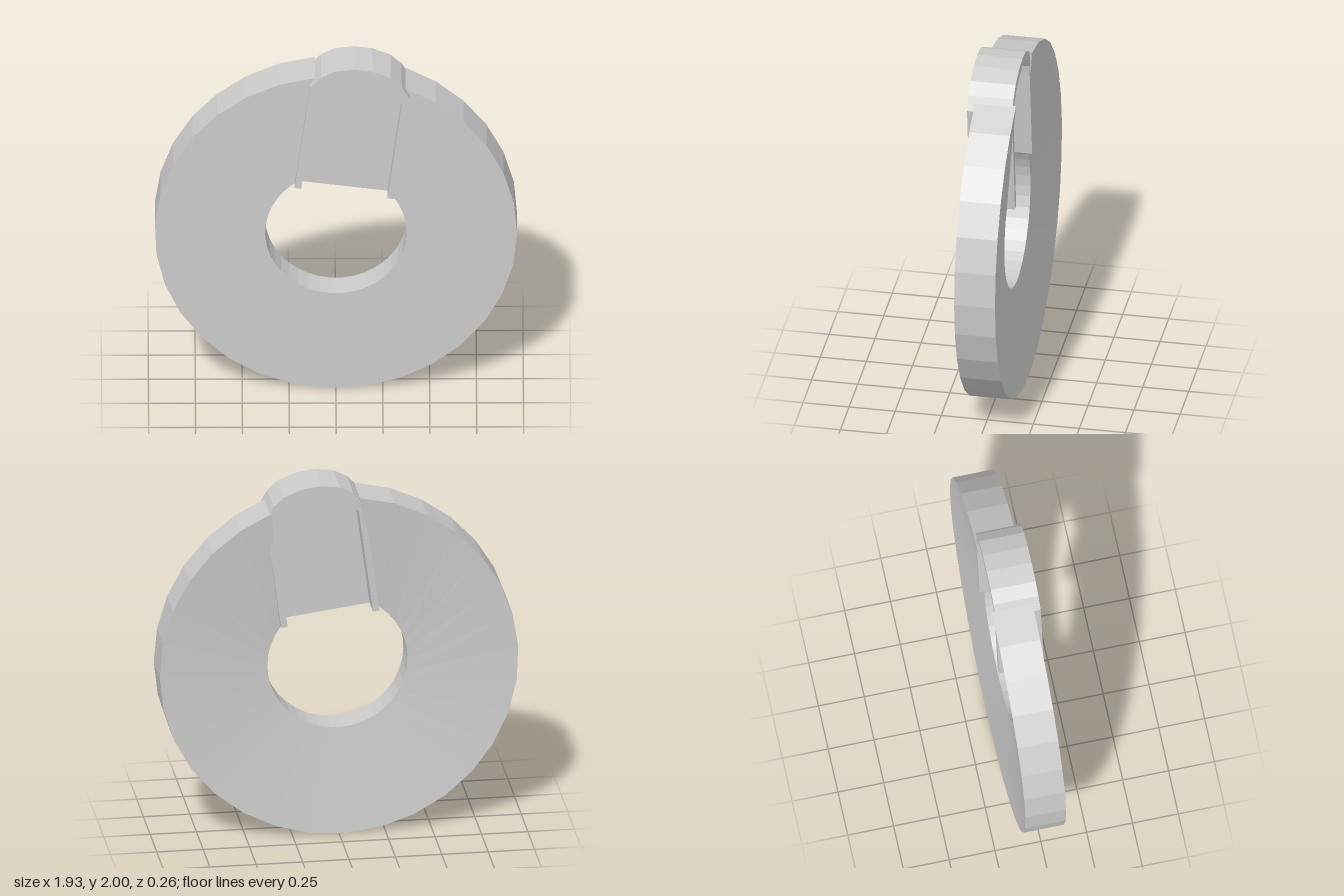
import * as THREE from 'three';

const CENTRE_Y = 0.965;
const stone = () => new THREE.MeshStandardMaterial({ color: 0xcccccc, flatShading: true });

// Open ring with a dished back, swept around a four-corner section
function ringGeometry() {
  const segments = 29;
  const rad = THREE.MathUtils.degToRad;
  const outer = { r: 0.967, from: rad(96.6), to: rad(428) };
  const inner = { r: 0.378, from: rad(126), to: rad(396.6) };
  const corners = [[outer, 0.092], [outer, -0.13], [inner, -0.07], [inner, 0.092]];
  const point = (i, k) => {
    const [edge, z] = corners[k % 4];
    const a = THREE.MathUtils.lerp(edge.from, edge.to, i / segments);
    return [edge.r * Math.cos(a), edge.r * Math.sin(a), z];
  };
  const positions = [];
  const quad = (a, b, c, d) => positions.push(...a, ...b, ...c, ...a, ...c, ...d);
  for (let i = 0; i < segments; i++) {
    for (let k = 0; k < 4; k++) {
      quad(point(i, k), point(i, k + 1), point(i + 1, k + 1), point(i + 1, k));
    }
  }
  // Closed ends against the arched frame
  quad(point(0, 0), point(0, 3), point(0, 2), point(0, 1));
  quad(point(segments, 0), point(segments, 1), point(segments, 2), point(segments, 3));
  const geometry = new THREE.BufferGeometry();
  geometry.setAttribute('position', new THREE.Float32BufferAttribute(positions, 3));
  geometry.computeVertexNormals();
  return geometry;
}

// Right half of an arch mirrored into a full outline, from right foot to left foot
function archPoints(half) {
  const left = half.map(([x, y]) => [-x, y]).reverse();
  return [...half, ...left].map(([x, y]) => new THREE.Vector2(x, y));
}

function extrude(points, back, front) {
  const geometry = new THREE.ExtrudeGeometry(new THREE.Shape(points), {
    depth: front - back, bevelEnabled: false,
  });
  return geometry.translate(0, 0, back);
}

function addMesh(parent, name, geometry) {
  const mesh = new THREE.Mesh(geometry, stone());
  mesh.name = name;
  parent.add(mesh);
  return mesh;
}

export function createModel() {
  const model = new THREE.Group();
  model.name = 'stoneRing';

  addMesh(model, 'ring', ringGeometry()).position.y = CENTRE_Y;

  // Tilted arched gate set into the gap of the ring
  const gate = new THREE.Group();
  gate.name = 'gate';
  gate.position.set(0.045, 1.23, 0);
  gate.rotation.z = -0.131;
  model.add(gate);

  const outerArch = archPoints([[0.267, 0], [0.267, 0.63], [0.217, 0.698], [0.15, 0.744], [0.05, 0.77]]);
  const innerArch = archPoints([[0.232, 0], [0.232, 0.585], [0.2, 0.645], [0.142, 0.696], [0.05, 0.72]]);

  addMesh(gate, 'archFrame', extrude([...outerArch, ...innerArch.slice().reverse()], -0.115, 0.13));
  addMesh(gate, 'archPanel', extrude(innerArch, 0.015, 0.05));

  return model;
}
